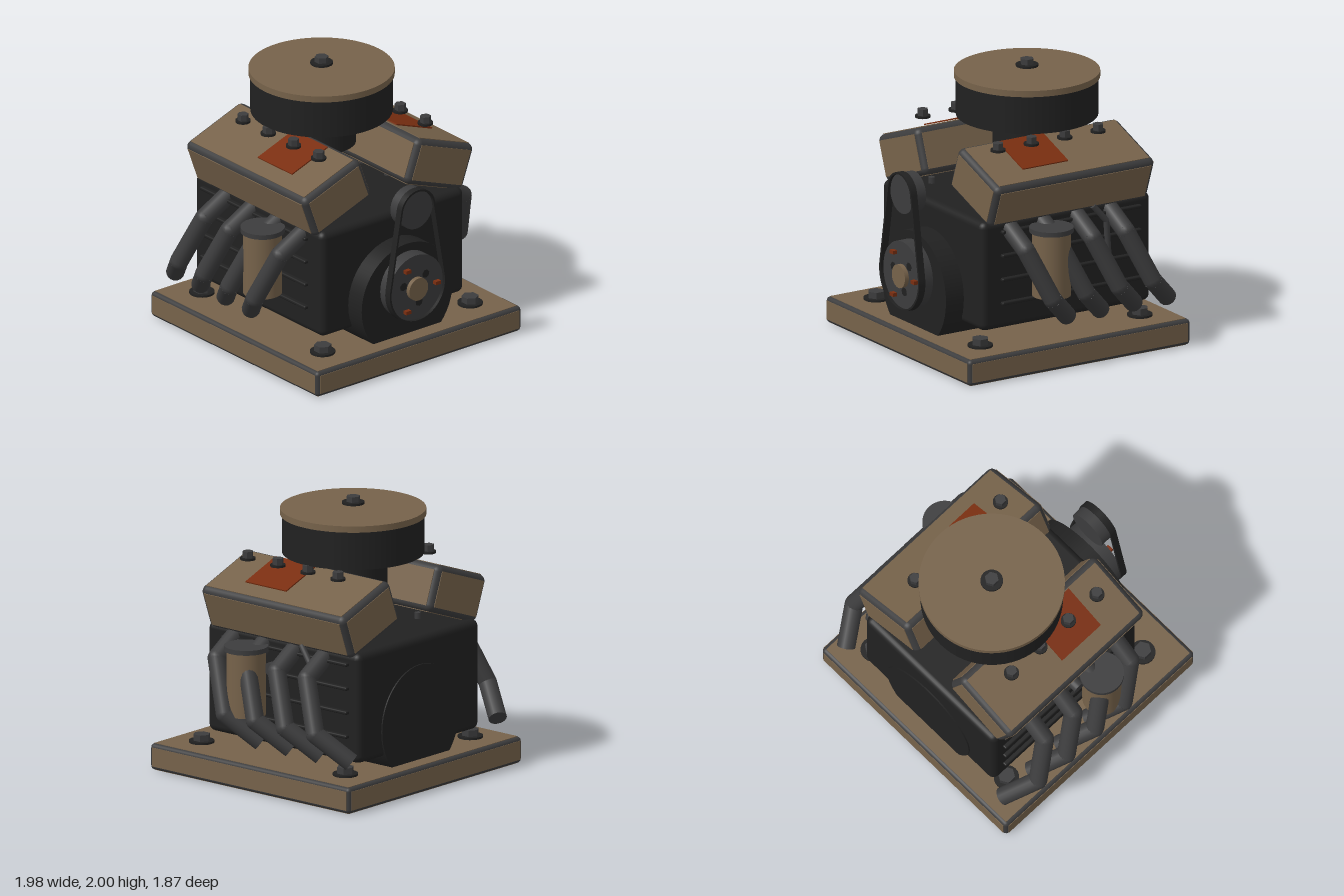
import * as THREE from 'three';
import { RoundedBoxGeometry } from 'three/addons/geometries/RoundedBoxGeometry.js';

const paint = (name, color) => Object.assign(new THREE.MeshStandardMaterial({ color }), { name });

export function createModel() {
  const tan = paint('tan paint', 0x76624a);
  const steel = paint('worn steel', 0x3c3c3d);
  const black = paint('black iron', 0x212121);
  const rust = paint('rust', 0x7a2e10);
  const model = new THREE.Group();
  model.name = 'engine';

  const add = (name, geo, mat, x = 0, y = 0, z = 0, parent = model) => {
    const m = new THREE.Mesh(geo, mat);
    m.name = name;
    m.position.set(x, y, z);
    parent.add(m);
    return m;
  };
  const cyl = (r, h, sides = 40) => new THREE.CylinderGeometry(r, r, h, sides);
  const cylZ = (r, h, sides = 40) => cyl(r, h, sides).rotateX(Math.PI / 2);
  const group = (name, x, y, z) => {
    const g = new THREE.Group();
    g.name = name;
    g.position.set(x, y, z);
    model.add(g);
    return g;
  };

  // Box with worn steel edges and a painted panel on each face
  const wornBox = (name, w, h, d, r, inset, x, y, z) => {
    const g = group(name, x, y, z), t = 0.006;
    add('wornEdges', new RoundedBoxGeometry(w, h, d, 3, r), steel, 0, 0, 0, g);
    const a = w - 2 * inset, b = h - 2 * inset, c = d - 2 * inset;
    for (const s of [-1, 1]) {
      add('sidePanel', new THREE.BoxGeometry(t, b, c), tan, s * w / 2, 0, 0, g);
      add('flatPanel', new THREE.BoxGeometry(a, t, c), tan, 0, s * h / 2, 0, g);
      add('endPanel', new THREE.BoxGeometry(a, b, t), tan, 0, 0, s * d / 2, g);
    }
    return g;
  };

  // Hex bolt on a washer, y is the underside of the washer
  const bolt = (name, x, y, z, washer, head, height) => {
    const g = group(name, x, y, z);
    add('washer', cyl(washer, 0.016, 20), black, 0, 0.008, 0, g);
    const hex = cyl(head, height, 6).toNonIndexed();
    hex.computeVertexNormals();
    add('hexHead', hex, steel, 0, 0.016 + height / 2, 0, g);
  };

  // Round pipe through a list of points, with ball joints at the bends
  const pipe = (name, points, r) => {
    const g = group(name, 0, 0, 0), up = new THREE.Vector3(0, 1, 0);
    const pts = points.map(p => new THREE.Vector3(...p));
    for (let i = 1; i < pts.length; i++) {
      const dir = pts[i].clone().sub(pts[i - 1]);
      const mid = pts[i].clone().add(pts[i - 1]).multiplyScalar(0.5);
      const seg = add('pipeRun', cyl(r, dir.length(), 16), steel, mid.x, mid.y, mid.z, g);
      seg.quaternion.setFromUnitVectors(up, dir.normalize());
      if (i < pts.length - 1) add('pipeBend', new THREE.SphereGeometry(r, 16, 10), steel, ...points[i], g);
    }
  };

  // Stand and its corner bolts
  wornBox('base', 1.86, 0.19, 1.86, 0.03, 0.026, 0, 0.096, 0);
  for (const x of [-0.67, 0.67]) for (const z of [-0.67, 0.67])
    bolt('baseBolt', x, 0.193, z, 0.09, 0.062, 0.046);

  // Block and the crankcase running through it
  add('engineBlock', new RoundedBoxGeometry(1.3, 0.8, 1.42, 3, 0.05), black, 0, 0.68, -0.07);
  add('crankcase', cylZ(0.413, 1.58, 48), black, 0, 0.47, 0);

  const cylinders = [0.4, 0.12, -0.16, -0.44];
  for (const s of [-1, 1]) {
    // Valve cover, sloping down to the outside
    const cover = wornBox('valveCover', 0.555, 0.34, 1.34, 0.05, 0.04, s * 0.467, 1.29, -0.07);
    cover.rotation.z = -s * 20 * Math.PI / 180;
    add('rustPatch', new THREE.BoxGeometry(0.345, 0.009, 0.38), rust, -s * 0.058, 0.182, 0.17, cover);

    // Cooling fins and core plug on the block side
    for (const y of [0.47, 0.645, 0.82, 0.995])
      add('sideFin', new RoundedBoxGeometry(0.06, 0.026, 1.17, 2, 0.01), black, s * 0.65, y, -0.1);
    add('corePlug', cyl(0.045, 0.08, 20).rotateZ(Math.PI / 2), steel, s * 0.68, 0.855, 0);
    add('drainStub', cyl(0.03, 0.06, 12), steel, s * 0.7, 0.49, 0.14);

    // Oil canister
    add('canister', cyl(0.138, 0.47), tan, s * 0.79, 0.75, 0.15);
    add('canisterCap', cyl(0.157, 0.035), steel, s * 0.79, 1.0, 0.15);

    // Exhaust pipes, cover bolts and head studs, one set for each cylinder
    for (const z of cylinders) {
      pipe('exhaustPipe', [
        [s * 0.6, 1.025, z], [s * 0.83, 0.89, z - 0.01],
        [s * 0.925, 0.53, z - 0.17], [s * 0.785, 0.335, z - 0.385],
      ], 0.066);
      bolt('coverBolt', s * 0.485, 1.535, z, 0.054, 0.04, 0.046);
      add('headStud', cyl(0.025, 0.07, 6), steel, s * 0.37, 1.09, z);
    }
  }

  // Dipstick tube
  pipe('dipstickTube', [[0.68, 1.07, -0.27], [0.7, 0.95, -0.37], [0.7, 0.58, -0.395]], 0.022);

  // Air cleaner on its intake neck
  const ax = -0.16;
  add('intakeNeck', cyl(0.242, 0.26), black, 0, 1.48, ax);
  add('airFilter', cyl(0.502, 0.28, 64), black, 0, 1.735, ax);
  add('filterLid', cyl(0.515, 0.046, 64), tan, 0, 1.893, ax);
  bolt('lidNut', 0, 1.944, ax, 0.08, 0.05, 0.04);

  // Pulleys
  const low = 0.58, high = 1.18;
  add('crankPulley', cylZ(0.245, 0.1, 48), steel, 0, low, 0.838);
  add('crankHub', cylZ(0.085, 0.035, 32), tan, 0, low - 0.005, 0.903);
  add('fanPulley', cylZ(0.147, 0.11), steel, 0, high, 0.838);
  for (let i = 0; i < 3; i++) {
    const a = i * Math.PI * 2 / 3;
    add('pulleyBolt', new THREE.BoxGeometry(0.046, 0.026, 0.035), rust,
      0.18 * Math.cos(a), low - 0.005 + 0.18 * Math.sin(a), 0.903);
    add('pulleyWear', cylZ(0.032, 0.006, 7), black,
      0.12 * Math.cos(a + 0.75), low + 0.12 * Math.sin(a + 0.75), 0.888);
  }

  // Drive belt: a band around both pulleys
  const loop = (path, rLow, rHigh) => {
    const a = Math.asin((rLow - rHigh) / (high - low));
    path.absarc(0, high, rHigh, a, Math.PI - a, false);
    path.absarc(0, low, rLow, Math.PI - a, Math.PI * 2 + a, false);
    path.closePath();
    return path;
  };
  const band = loop(new THREE.Shape(), 0.258, 0.156);
  band.holes.push(loop(new THREE.Path(), 0.243, 0.141));
  add('driveBelt', new THREE.ExtrudeGeometry(band, { depth: 0.052, bevelEnabled: false, curveSegments: 32 }),
    black, 0, 0, 0.862);

  return model;
}
